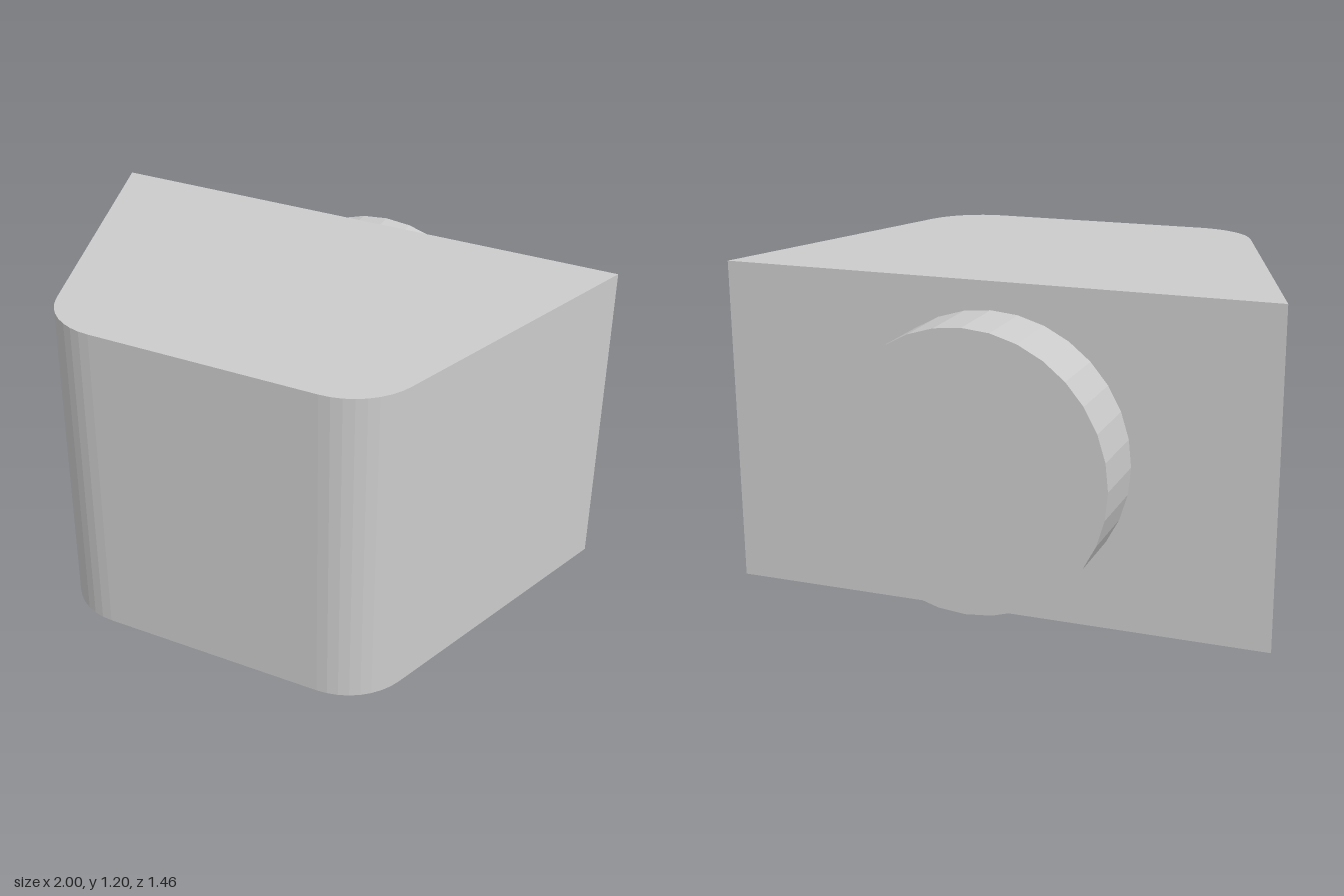
import * as THREE from 'three';

export function createModel() {
  const model = new THREE.Group();
  const material = new THREE.MeshStandardMaterial({ color: 0xcccccc, flatShading: true });

  const height = 1.2, backZ = -0.47, frontZ = 0.73;
  const radius = 0.25, cornerX = 0.42; // rounded front corners
  const tilt = Math.atan(1 / 3);       // lean of the tapering sides

  // Tapered block: plan drawn with shape y = -z, then stood upright
  const plan = new THREE.Shape();
  plan.moveTo(-1, -backZ);
  plan.lineTo(1, -backZ);
  plan.absarc(cornerX, radius - frontZ, radius, -tilt, -Math.PI / 2, true);
  plan.absarc(-cornerX, radius - frontZ, radius, -Math.PI / 2, tilt - Math.PI, true);
  plan.closePath();
  const bodyGeometry = new THREE.ExtrudeGeometry(plan, {
    depth: height, bevelEnabled: false, curveSegments: 4,
  });
  bodyGeometry.rotateX(-Math.PI / 2);
  const body = new THREE.Mesh(bodyGeometry, material);
  body.name = 'body';
  model.add(body);

  // Round boss on the back face
  const bossDepth = 0.26;
  const bossGeometry = new THREE.CylinderGeometry(0.5, 0.5, bossDepth, 32);
  bossGeometry.rotateX(Math.PI / 2);
  const boss = new THREE.Mesh(bossGeometry, material);
  boss.name = 'backBoss';
  boss.position.set(0, height / 2, backZ - bossDepth / 2);
  model.add(boss);

  return model;
}
